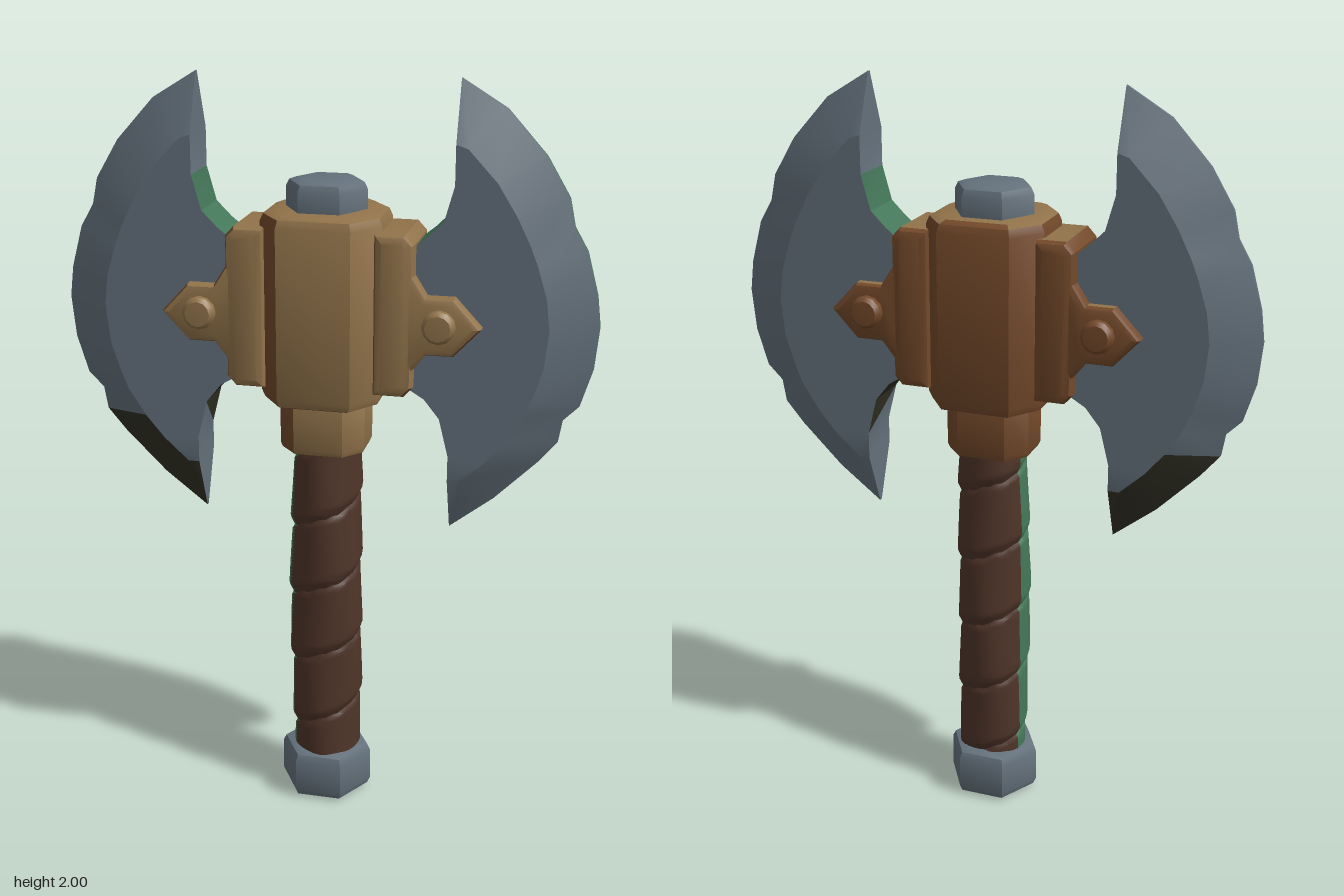
import * as THREE from 'three';
import { toCreasedNormals } from 'three/addons/utils/BufferGeometryUtils.js';

const mat = (name, color) => {
  const m = new THREE.MeshStandardMaterial({ color });
  m.name = name;
  return m;
};

export function createModel() {
  const root = new THREE.Group();
  root.name = 'doubleAxe';
  const steel = mat('steel', 0x64717c), brass = mat('brass', 0x91734a), bronze = mat('bronze', 0x73492a);
  const leather = mat('leather', 0x4f3529), verdigris = mat('verdigris', 0x447759), grime = mat('grime', 0x303024);

  // Sorts triangles into material groups by their centre and face normal
  const paint = (name, geo, mats, rule) => {
    const g = geo.index ? geo.toNonIndexed() : geo;
    g.clearGroups();
    const p = g.attributes.position, lists = mats.map(() => []);
    const tri = new THREE.Triangle(), c = new THREE.Vector3(), n = new THREE.Vector3();
    for (let i = 0; i < p.count; i += 3) {
      tri.setFromAttributeAndIndices(p, i, i + 1, i + 2);
      tri.getMidpoint(c);
      tri.getNormal(n);
      lists[rule(c, n)].push(i, i + 1, i + 2);
    }
    g.setIndex(lists.flat());
    let start = 0;
    lists.forEach((l, m) => {
      if (l.length) g.addGroup(start, l.length, m);
      start += l.length;
    });
    const mesh = new THREE.Mesh(g, mats);
    mesh.name = name;
    root.add(mesh);
    return mesh;
  };

  // Bevelled slab, centred on z = 0
  const slab = (pts, depth, bevel) => {
    const shape = new THREE.Shape(pts.map(([x, y]) => new THREE.Vector2(x, y)));
    const g = new THREE.ExtrudeGeometry(shape, {
      depth: depth - 2 * bevel, bevelThickness: bevel, bevelSize: bevel, bevelOffset: -bevel, bevelSegments: 2,
    });
    return toCreasedNormals(g.translate(0, 0, bevel - depth / 2), 0.5);
  };
  // Bevelled upright prism between two heights
  const prism = (pts, y0, y1, bevel) => slab(pts, y1 - y0, bevel).rotateX(-Math.PI / 2).translate(0, (y0 + y1) / 2, 0);
  const oct = (x, z, cx, cz) => [[x, -cz], [x, cz], [cx, z], [-cx, z], [-x, cz], [-x, -cz], [-cx, -z], [cx, -z]];
  const hex = (r) => Array.from({ length: 6 }, (_, i) => [r * Math.cos(i * Math.PI / 3), r * Math.sin(i * Math.PI / 3)]);

  // Aged metal: the back, underside and one flank are browner
  const aged = (c, n) => (n.z < -0.3 || n.x < -0.5 || n.y < -0.6 ? 1 : 0);
  const metal = [brass, bronze];

  // Pommel and top cap
  paint('pommel', prism(hex(0.127), 0, 0.14, 0.025), [steel, grime], (c, n) => (n.y < -0.9 ? 1 : 0));
  paint('topCap', prism(hex(0.106), 1.62, 1.745, 0.025), [steel], () => 0);

  // Wrapped grip: a saw-tooth helix gives the overlapping leather strip
  const grip = new THREE.CylinderGeometry(1, 1, 0.96, 32, 96, true).translate(0, 0.58, 0);
  const gp = grip.attributes.position;
  for (let i = 0; i < gp.count; i++) {
    const x = gp.getX(i), y = gp.getY(i), z = gp.getZ(i);
    const a = Math.atan2(x, z);
    const turn = y / 0.2 - a / (2 * Math.PI) + 0.8;
    const f = turn - Math.floor(turn);
    const r = 0.079 + 0.016 * Math.min(1, f / 0.15) * (1 - 0.5 * f) + 0.007 * Math.sin(Math.PI * (y - 0.1) * 1.05)
      + 0.002 * Math.sin(3 * a + 9 * y);
    gp.setXYZ(i, x * r, y, z * r);
  }
  paint('grip', toCreasedNormals(grip, 0.7), [leather, verdigris], (c) => {
    const a = Math.atan2(c.x, c.z);
    return a > -1.94 && a < -1.1 ? 1 : 0;
  });

  // Collar and socket
  paint('collar', prism(oct(0.113, 0.105, 0.065, 0.05), 1.03, 1.2, 0.018), metal, aged);
  paint('socket', prism(oct(0.157, 0.157, 0.095, 0.07), 1.17, 1.67, 0.028), metal, aged);

  // Blade rows from tip to tip: cutting edge x, y, bevel x, y, inner edge x, y
  const rows = [
    [0.335, 2.0, 0.335, 2.0, 0.335, 2.0],
    [0.45, 1.93, 0.365, 1.84, 0.335, 1.85],
    [0.55, 1.82, 0.44, 1.76, 0.335, 1.75],
    [0.61, 1.72, 0.49, 1.68, 0.31, 1.66],
    [0.625, 1.65, 0.525, 1.61, 0.27, 1.62],
    [0.66, 1.59, 0.545, 1.56, 0.22, 1.58],
    [0.69, 1.48, 0.57, 1.48, 0.18, 1.5],
    [0.70, 1.40, 0.58, 1.40, 0.18, 1.4],
    [0.69, 1.29, 0.57, 1.3, 0.18, 1.3],
    [0.66, 1.19, 0.545, 1.22, 0.22, 1.23],
    [0.62, 1.15, 0.525, 1.17, 0.27, 1.2],
    [0.61, 1.09, 0.48, 1.1, 0.31, 1.15],
    [0.56, 1.03, 0.43, 1.04, 0.335, 1.05],
    [0.45, 0.92, 0.365, 0.98, 0.335, 0.98],
    [0.335, 0.83, 0.335, 0.83, 0.335, 0.83],
  ];
  const bladeGeometry = (s) => {
    const pos = [];
    const a = new THREE.Vector3(), b = new THREE.Vector3();
    const tri = (p, q, r) => {
      a.subVectors(q, p);
      b.subVectors(r, p);
      if (a.cross(b).length() < 1e-7) return;
      for (const v of s > 0 ? [p, q, r] : [p, r, q]) pos.push(v.x * s, v.y, v.z);
    };
    const quad = (p, q, r, t) => { tri(p, q, r); tri(p, r, t); };
    // Ring around one row: front edge, bevel, inner, then the same on the back
    const rings = rows.map((r, k) => {
      const t = k === 0 || k === rows.length - 1 ? 0.005 : 0.068;
      const v = (i, z) => new THREE.Vector3(r[i], r[i + 1], z);
      return [v(0, 0.005), v(2, t), v(4, t), v(4, -t), v(2, -t), v(0, -0.005)];
    });
    for (let k = 0; k < rings.length - 1; k++) {
      for (let j = 0; j < 6; j++) {
        const n = (j + 1) % 6;
        quad(rings[k][j], rings[k][n], rings[k + 1][n], rings[k + 1][j]);
      }
    }
    const g = new THREE.BufferGeometry();
    g.setAttribute('position', new THREE.Float32BufferAttribute(pos, 3));
    return toCreasedNormals(g, 0.4);
  };

  for (const s of [1, -1]) {
    const side = s > 0 ? 'left' : 'right';
    const flip = (pts) => (s > 0 ? pts : pts.map(([x, y]) => [-x, y]).reverse());

    // Blade with tarnished neck, edge line and one stained corner
    paint(side + 'Blade', bladeGeometry(s), [steel, verdigris, grime], (c, n) => {
      const x = Math.abs(c.x), nz = Math.abs(n.z);
      if (nz < 0.3 && x < 0.34) {
        if (c.y > 1.55 && c.y < 1.76) return 1;
        if (c.y < 1.25 && c.y > 1.1) return 2;
        return 0;
      }
      if (s > 0 && nz < 0.3 && x > 0.5) return 1;
      return s < 0 && nz > 0.3 && nz < 0.97 && c.y < 1.1 ? 2 : 0;
    });

    // Bracket beside the socket
    paint(side + 'Bracket', slab(flip([[0.14, 1.21], [0.22, 1.21], [0.243, 1.235], [0.243, 1.605], [0.22, 1.63], [0.14, 1.63]]), 0.22, 0.022), metal, aged);

    // Pointed strap clamping the blade
    paint(side + 'Strap', slab(flip([[0.2, 1.28], [0.24, 1.28], [0.275, 1.325], [0.345, 1.325], [0.415, 1.4],
      [0.345, 1.475], [0.275, 1.475], [0.24, 1.53], [0.2, 1.53]]), 0.21, 0.016), metal, aged);

    // Rivets, front and back
    for (const z of [1, -1]) {
      const profile = [[0.043, 0], [0.043, 0.02], [0.033, 0.032], [0, 0.034]].map(([x, y]) => new THREE.Vector2(x, y));
      const rivet = new THREE.Mesh(toCreasedNormals(new THREE.LatheGeometry(profile, 12), 0.6), z > 0 ? brass : bronze);
      rivet.name = side + (z > 0 ? 'FrontRivet' : 'BackRivet');
      rivet.rotation.x = z * Math.PI / 2;
      rivet.position.set(s * 0.31, 1.405, z * 0.1);
      root.add(rivet);
    }
  }
  return root;
}
